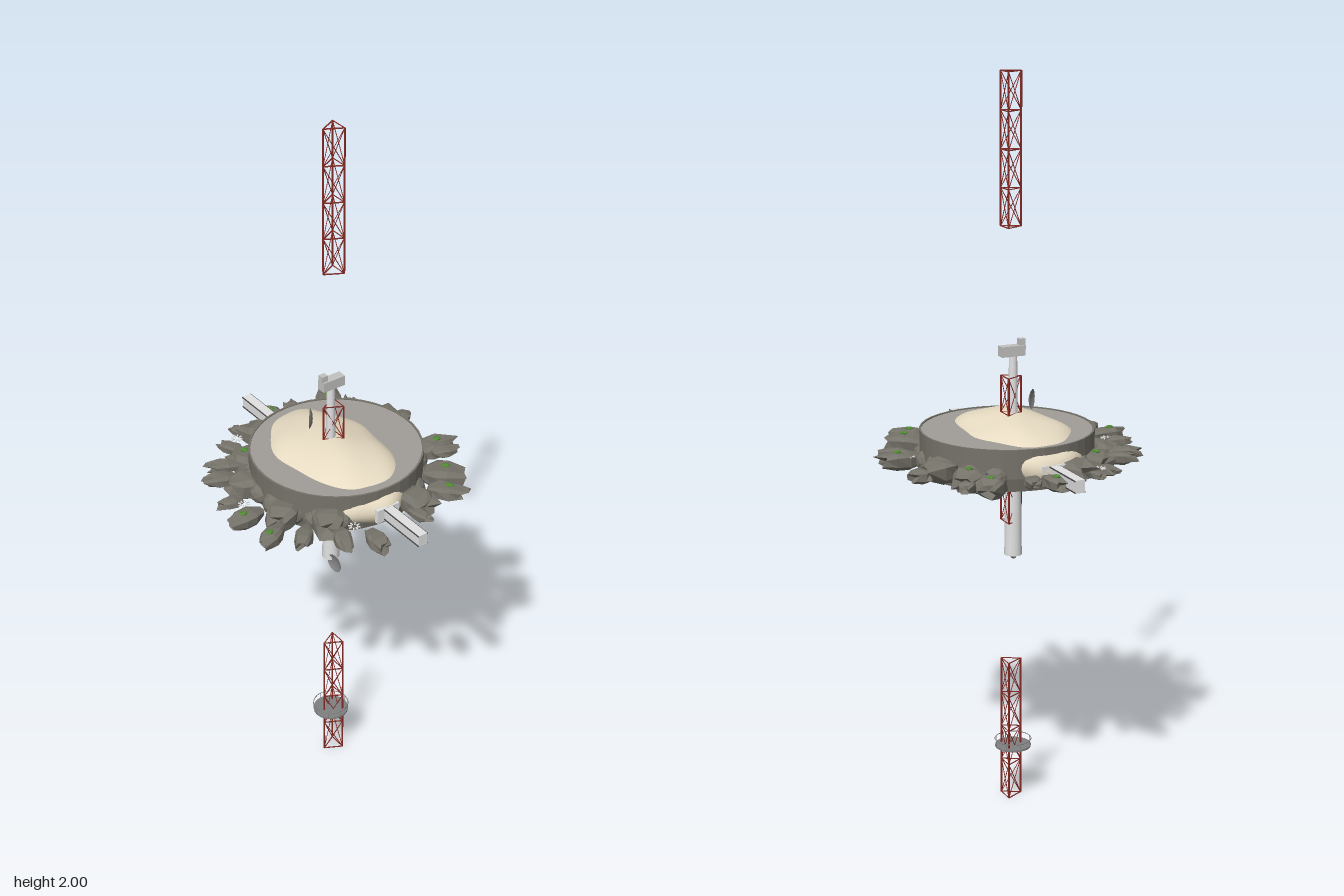
import * as THREE from 'three';
import { mergeVertices } from 'three/addons/utils/BufferGeometryUtils.js';

const mat = (name, color, extra = {}) => {
  const m = new THREE.MeshStandardMaterial({ color, ...extra });
  m.name = name;
  return m;
};

export function createModel() {
  const root = new THREE.Group();
  root.name = 'asteroidStation';
  const M = {
    sand: mat('sand', 0xe8dcc3),
    deck: mat('deckGrey', 0xa19e99),
    rock: mat('rock', 0x76736a, { flatShading: true }),
    moss: mat('moss', 0x528a35, { flatShading: true }),
    metal: mat('lightMetal', 0xe2e2e2),
    head: mat('headMetal', 0xc2c2c0),
    trim: mat('darkTrim', 0x4a4a4a),
    grey: mat('midGrey', 0x808080, { side: THREE.DoubleSide }),
    red: mat('mastRed', 0x8c2d26),
    white: mat('lampWhite', 0xffffff),
  };
  let seed = 7;
  const rnd = () => (seed = (seed * 16807) % 2147483647) / 2147483647;
  const V = (x, y, z) => new THREE.Vector3(x, y, z);

  const add = (name, geo, m, x = 0, y = 0, z = 0, parent = root) => {
    const mesh = new THREE.Mesh(geo, m);
    mesh.name = name;
    mesh.position.set(x, y, z);
    parent.add(mesh);
    return mesh;
  };
  const group = (name, parent = root) => {
    const g = new THREE.Group();
    g.name = name;
    parent.add(g);
    return g;
  };
  const box = (name, w, h, d, m, x, y, z, parent) =>
    add(name, new THREE.BoxGeometry(w, h, d), m, x, y, z, parent);
  // Slim bar between two points
  const bar = (name, a, b, r, m, parent) => {
    const dir = b.clone().sub(a);
    const mesh = add(name, new THREE.CylinderGeometry(r, r, dir.length(), 4), m, 0, 0, 0, parent);
    mesh.position.copy(a).add(b).multiplyScalar(0.5);
    mesh.quaternion.setFromUnitVectors(V(0, 1, 0), dir.normalize());
  };

  // Sandy core: a lumpy ellipsoid with its seam welded
  const sphere = new THREE.SphereGeometry(1, 56, 32);
  sphere.deleteAttribute('uv');
  sphere.deleteAttribute('normal');
  const core = mergeVertices(sphere);
  const p = core.attributes.position;
  for (let i = 0; i < p.count; i++) {
    const x = p.getX(i), y = p.getY(i), z = p.getZ(i);
    const k = 1 + 0.012 * Math.sin(5 * x + 3 * z) + 0.018 * Math.sin(7 * z - 4 * x + 2 * y)
      + 0.025 * Math.cos(9 * x + 4 * y) * Math.abs(z);
    p.setXYZ(i, 0.256 * x * k, 0.095 * y * k, 0.163 * z * k);
  }
  core.computeVertexNormals();
  add('sandyCore', core, M.sand, 0, 1.005, 0);

  // Round shell with a slight raised lip, and its deck
  const shell = [[0, 0.95], [0.226, 0.95], [0.234, 0.985], [0.234, 1.063], [0.229, 1.063], [0.229, 1.053]]
    .map(([r, y]) => new THREE.Vector2(r, y));
  add('shellWall', new THREE.LatheGeometry(shell, 40), M.rock, 0, 0, -0.018);
  add('deck', new THREE.CylinderGeometry(0.23, 0.23, 0.006, 40), M.deck, 0, 1.057, -0.018);

  // Rock shard: boxy rings swept outward along +x, ending in a ragged notched tip
  const flat = (v) => Math.sign(v) * Math.abs(v) ** 0.55;
  const shardGeometry = (len, w, h) => {
    const n = 8, rings = 4, pos = [-0.5 * len, 0, 0], idx = [];
    for (let k = 0; k < rings; k++) {
      const t = k / (rings - 1);
      const r = 0.45 + 1.7 * t - 1.6 * t * t;
      for (let j = 0; j < n; j++) {
        const a = ((j + 0.5) / n) * Math.PI * 2, s = r * (0.88 + 0.24 * rnd()) / 2;
        const jag = (rnd() - 0.5) * (k === rings - 1 ? 0.32 : 0.08);
        pos.push((t * 0.88 - 0.48 + jag) * len, flat(Math.sin(a)) * s * h, flat(Math.cos(a)) * s * w * 1.1);
      }
    }
    pos.push(0.26 * len, 0, 0);
    const end = 1 + rings * n;
    for (let j = 0; j < n; j++) {
      const q = (j + 1) % n;
      idx.push(0, 1 + j, 1 + q, end, end - n + q, end - n + j);
      for (let k = 0; k < rings - 1; k++) {
        const a = 1 + k * n + j, b = 1 + k * n + q;
        idx.push(a, a + n, b, b, a + n, b + n);
      }
    }
    const g = new THREE.BufferGeometry();
    g.setAttribute('position', new THREE.Float32BufferAttribute(pos, 3));
    g.setIndex(idx);
    g.computeVertexNormals();
    return g;
  };
  const rocks = group('rockBelt');
  const shard = (x, z, len, w, h, mossy) => {
    const g = group('rockShard', rocks);
    g.position.set(x, 0.992 + (rnd() - 0.5) * 0.012, z);
    g.rotation.y = Math.atan2(-z, x) + (rnd() - 0.5) * 0.5;
    add('rock', shardGeometry(len, w, h), M.rock, 0, 0, 0, g);
    if (mossy) {
      add('mossPatch', new THREE.IcosahedronGeometry(1, 0), M.moss, 0.005, h * 0.46, 0, g)
        .scale.set(0.013, 0.0048, 0.01);
    }
  };
  // Outer shards: x, z, length
  [[0.07, -0.3, 0.13], [0.115, -0.3, 0.075], [-0.09, -0.3, 0.1], [-0.235, -0.235, 0.08],
    [-0.27, -0.185, 0.14], [-0.3, -0.083, 0.08], [-0.31, -0.024, 0.101], [-0.3, 0.1, 0.06],
    [-0.25, 0.155, 0.075], [-0.18, 0.23, 0.09], [-0.135, 0.265, 0.095], [-0.03, 0.305, 0.075],
    [0.05, 0.31, 0.11], [0.145, 0.295, 0.105], [0.2, 0.23, 0.09], [0.275, 0.16, 0.095],
    [0.325, 0.085, 0.1], [0.305, -0.065, 0.07], [0.262, -0.19, 0.11],
  ].forEach(([x, z, len]) => shard(x, z, len, len * 0.54, len * 0.4, len > 0.1));
  // Broad inner rocks: x, z
  [[-0.1, -0.255], [-0.18, -0.205], [-0.25, 0.06], [-0.085, 0.22], [-0.175, 0.155],
    [0.085, 0.215], [0.185, 0.145], [0.195, -0.23], [0.255, -0.095],
  ].forEach(([x, z], i) => shard(x, z, 0.115, 0.09, 0.07, i % 3 === 1));
  // Lumps hugging the shell, leaving the sandy ends free
  for (let i = 0; i < 22; i++) {
    const a = (i / 22) * Math.PI * 2;
    if (Math.abs(Math.cos(a)) > 0.94) continue;
    const lump = add('rockLump', new THREE.IcosahedronGeometry(0.034, 1), M.rock,
      0.22 * Math.cos(a), 0.987, -0.015 + 0.22 * Math.sin(a), rocks);
    lump.scale.y = 0.8 + 0.3 * rnd();
    lump.rotation.y = rnd() * 6;
  }

  // Docking arms on both sides
  for (const s of [-1, 1]) {
    const arm = group(s > 0 ? 'leftDockingArm' : 'rightDockingArm');
    box('armBeam', 0.16, 0.034, 0.026, M.metal, s * 0.32, 1.002, 0, arm);
    for (const z of [-0.0137, 0.0137]) {
      for (const y of [0.987, 1.017]) box('armRail', 0.16, 0.003, 0.0024, M.trim, s * 0.32, y, z, arm);
    }
    box('armCollar', 0.012, 0.04, 0.07, M.metal, s * 0.249, 1, 0, arm);
  }

  // Triangular lattice masts
  const corners = [[-0.025, -0.024], [0.025, -0.024], [0, 0.023]];
  const mast = (name, y0) => {
    const g = group(name);
    const at = (i, y) => V(corners[i % 3][0], y0 + y, corners[i % 3][1]);
    for (let i = 0; i < 3; i++) {
      bar('mastLeg', at(i, 0), at(i, 0.4), 0.003, M.red, g);
      for (let k = 0; k <= 4; k++) {
        bar('mastRung', at(i, k * 0.1), at(i + 1, k * 0.1), 0.0018, M.red, g);
        if (k === 4) continue;
        bar('mastBrace', at(i, k * 0.1), at(i + 1, k * 0.1 + 0.1), 0.0012, M.red, g);
        bar('mastBrace', at(i + 1, k * 0.1), at(i, k * 0.1 + 0.1), 0.0012, M.red, g);
      }
    }
  };
  mast('lowerMast', 0);
  mast('centreMast', 0.8);
  mast('upperMast', 1.6);

  // Railed platform on the lower mast
  add('platformFloor', new THREE.CylinderGeometry(0.05, 0.05, 0.005, 20), M.grey, 0, 0.147, 0);
  const rail = add('platformRail', new THREE.TorusGeometry(0.05, 0.0013, 4, 24), M.grey, 0, 0.166, 0);
  rail.rotation.x = Math.PI / 2;
  for (let i = 0; i < 8; i++) {
    const x = 0.05 * Math.cos(i * Math.PI / 4), z = 0.05 * Math.sin(i * Math.PI / 4);
    bar('railPost', V(x, 0.147, z), V(x, 0.166, z), 0.001, M.grey);
  }

  // Upper post with its head, and the lower column
  add('upperPost', new THREE.CylinderGeometry(0.011, 0.013, 0.22, 16), M.metal, 0, 1.15, 0);
  box('postHead', 0.026, 0.028, 0.068, M.head, 0, 1.27, -0.003);
  box('headSensor', 0.016, 0.018, 0.018, M.head, 0, 1.292, 0.024);
  add('lowerColumn', new THREE.CylinderGeometry(0.021, 0.024, 0.23, 16), M.metal, 0, 0.82, 0);

  // Dish antennas
  const dishProfile = [[0, -0.005], [0.012, -0.004], [0.021, -0.001], [0.027, 0.003]]
    .map(([r, y]) => new THREE.Vector2(r, y));
  const dish = (name, pos, dir) => {
    const d = add(name, new THREE.LatheGeometry(dishProfile, 20), M.grey, pos.x, pos.y, pos.z);
    d.quaternion.setFromUnitVectors(V(0, 1, 0), dir.normalize());
  };
  dish('upperDish', V(-0.045, 1.145, 0.032), V(-0.64, 0, 0.77));
  dish('lowerDish', V(0.037, 0.706, 0.012), V(0.1, 0, 1));

  // Starburst lamps floating among the rocks
  for (const [x, z] of [[0.05, -0.28], [-0.263, 0.126], [0.248, 0.105], [0, 0.28]]) {
    const lamp = group('starLamp');
    lamp.position.set(x, 1, z);
    for (let i = 0; i < 8; i++) {
      const a = (i * Math.PI) / 4;
      box('lampRay', 0.009, 0.003, 0.003, M.white, 0.0115 * Math.cos(a), 0, 0.0115 * Math.sin(a), lamp)
        .rotation.y = -a;
    }
  }
  return root;
}
